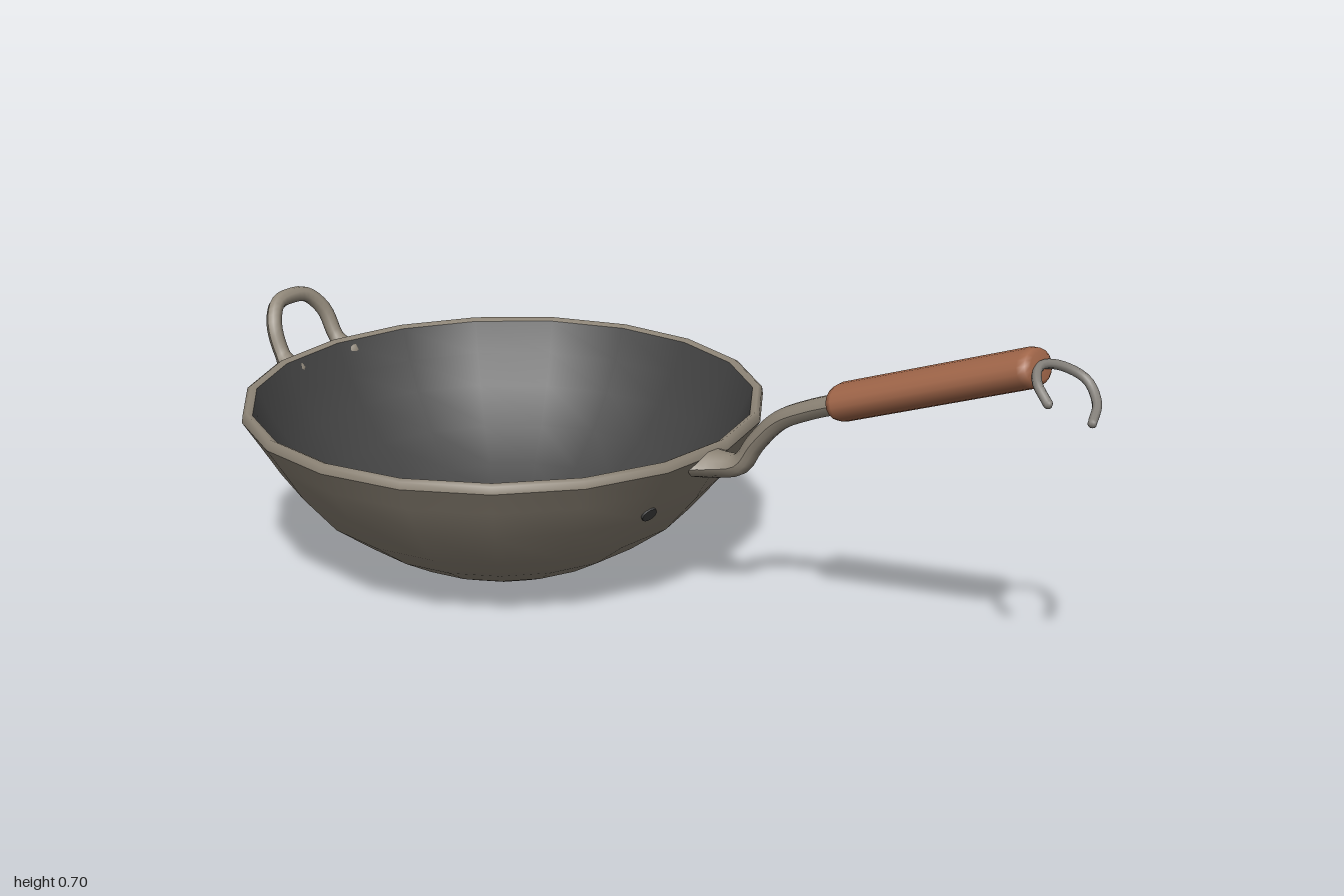
import * as THREE from 'three';

const SIDES = 19, CX = -0.365;
const v2 = (pts) => pts.map(([x, y]) => new THREE.Vector2(x, y));
const curve = (pts) => new THREE.CatmullRomCurve3(pts.map((p) => new THREE.Vector3(...p)));

function mat(name, color, side = THREE.FrontSide) {
  const m = new THREE.MeshStandardMaterial({ color, side });
  m.name = name;
  return m;
}

function add(parent, name, geometry, material) {
  const mesh = new THREE.Mesh(geometry, material);
  mesh.name = name;
  parent.add(mesh);
  return mesh;
}

// Tube whose radius follows radiusAt(t), widened in z by widthAt(t)
function taperTube(path, segments, sides, radiusAt, widthAt = () => 1) {
  const geo = new THREE.TubeGeometry(path, segments, 1, sides);
  const pos = geo.attributes.position;
  for (let i = 0; i <= segments; i++) {
    const t = i / segments, c = path.getPointAt(t), r = radiusAt(t);
    for (let j = 0; j <= sides; j++) {
      const k = i * (sides + 1) + j;
      pos.setXYZ(k,
        c.x + (pos.getX(k) - c.x) * r,
        c.y + (pos.getY(k) - c.y) * r,
        c.z + (pos.getZ(k) - c.z) * r * widthAt(t));
    }
  }
  geo.computeVertexNormals();
  return geo;
}

export function createModel() {
  const model = new THREE.Group();
  model.name = 'wok';
  const metal = mat('warm grey metal', 0x8f8678);
  const lining = mat('dark lining', 0x434343);
  const wood = mat('brown wood', 0xa2674a);
  const steel = mat('grey hook steel', 0x86827c);

  // Bowl: outer wall, flat base, rim band and dark lining
  const bowl = new THREE.Group();
  bowl.name = 'bowl';
  bowl.position.x = CX;
  model.add(bowl);
  add(bowl, 'outerWall', new THREE.LatheGeometry(v2([
    [0.16, 0], [0.24, 0.035], [0.315, 0.078], [0.4, 0.14],
    [0.47, 0.222], [0.512, 0.29], [0.545, 0.342],
  ]), SIDES), metal);
  add(bowl, 'base', new THREE.LatheGeometry(v2([[0, 0], [0.16, 0]]), SIDES), metal);
  add(bowl, 'rim', new THREE.LatheGeometry(v2([
    [0.545, 0.342], [0.543, 0.357], [0.535, 0.362], [0.523, 0.356],
  ]), SIDES), metal);
  add(bowl, 'lining', new THREE.LatheGeometry(v2([
    [0.523, 0.356], [0.492, 0.29], [0.45, 0.226], [0.385, 0.152],
    [0.3, 0.09], [0.23, 0.052], [0.15, 0.02], [0, 0.015],
  ]), SIDES), lining);

  // Small dark spots on the outer wall
  const tilt = new THREE.Vector3(0.868, -0.496, 0);
  for (const angle of [-0.235, Math.PI - 0.8]) {
    const n = tilt.clone().applyAxisAngle(new THREE.Vector3(0, 1, 0), angle);
    const spot = add(bowl, 'wallSpot', new THREE.CylinderGeometry(0.017, 0.017, 0.009, 12), lining);
    spot.position.set(0.477 * Math.cos(angle), 0.235, -0.477 * Math.sin(angle));
    spot.quaternion.setFromUnitVectors(new THREE.Vector3(0, 1, 0), n);
  }

  // Loop handle with flared feet
  const loop = curve([
    [-0.89, 0.315, 0.088], [-0.93, 0.355, 0.084], [-0.958, 0.415, 0.077],
    [-0.978, 0.452, 0.045], [-0.982, 0.459, 0], [-0.978, 0.452, -0.045],
    [-0.958, 0.415, -0.077], [-0.93, 0.355, -0.084], [-0.89, 0.315, -0.088],
  ]);
  add(model, 'loopHandle', taperTube(loop, 32, 8,
    (t) => 0.017 + 0.012 * Math.max(0, Math.abs(t - 0.5) * 2 - 0.75) * 4), metal);
  for (const s of [-1, 1]) {
    const foot = add(model, 'loopFoot', new THREE.SphereGeometry(1, 10, 8), metal);
    foot.scale.set(0.026, 0.03, 0.028);
    foot.position.set(-0.889, 0.325, 0.085 * s);
  }

  // Curved neck flaring into the bowl
  const neck = curve([
    [0.155, 0.325, 0], [0.195, 0.328, 0], [0.24, 0.34, 0], [0.275, 0.39, 0],
    [0.33, 0.448, 0], [0.4, 0.485, 0], [0.49, 0.52, 0],
  ]);
  const flare = (t) => Math.max(0, 1 - t / 0.28);
  add(model, 'neck', taperTube(neck, 28, 10,
    (t) => 0.02 + 0.009 * flare(t), (t) => 1 + 1.1 * flare(t) ** 2), metal);

  // Oval wooden grip with rounded ends
  const half = 0.226;
  const gripGeo = new THREE.LatheGeometry(v2([
    [0, -half], [0.036, -half], [0.047, -half + 0.006], [0.053, -half + 0.02],
    [0.053, half - 0.02], [0.047, half - 0.006], [0.036, half], [0, half],
  ]), 18);
  gripGeo.scale(0.7, 1, 1);
  const grip = add(model, 'grip', gripGeo, wood);
  grip.position.set(0.672, 0.59, 0);
  grip.rotation.z = -THREE.MathUtils.degToRad(69.5);

  // Open hanging hook at the end of the grip
  const hook = curve([
    [0.937, 0.628, 0.068], [0.903, 0.655, 0.048], [0.883, 0.67, 0],
    [0.9, 0.66, -0.048], [0.937, 0.635, -0.073], [0.971, 0.605, -0.05], [0.99, 0.585, 0],
  ]);
  add(model, 'hangingHook', new THREE.TubeGeometry(hook, 28, 0.009, 8), steel);
  for (const t of [0, 1]) {
    add(model, 'hookTip', new THREE.SphereGeometry(0.009, 8, 6), steel).position.copy(hook.getPoint(t));
  }
  return model;
}
